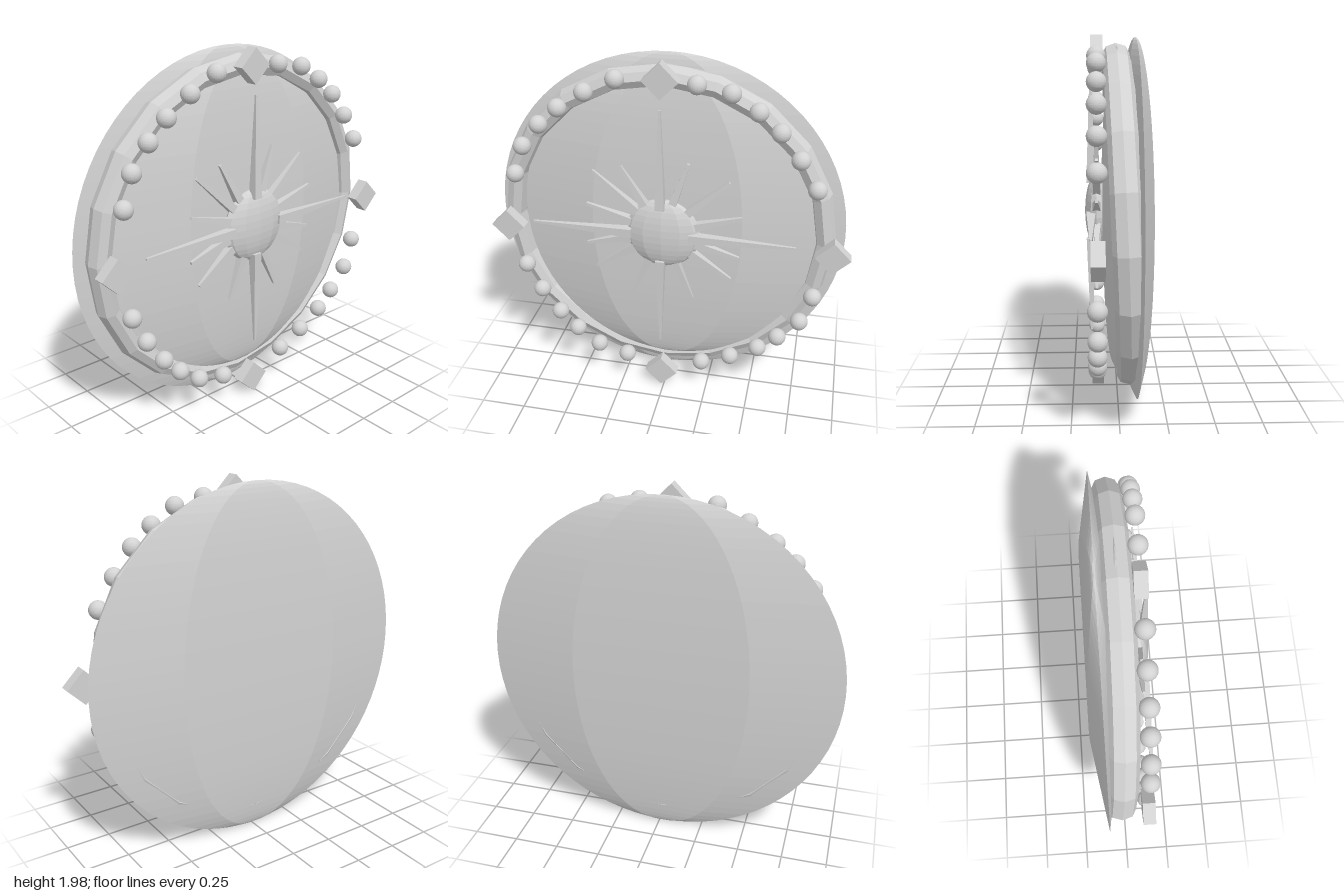
import * as THREE from 'three';

export function createModel() {
  const group = new THREE.Group();
  const grey = new THREE.MeshStandardMaterial({ color: 0xd2d2d2, flatShading: true });
  grey.name = 'stone grey';

  const add = (name, geometry, x, y, z) => {
    const mesh = new THREE.Mesh(geometry, grey);
    mesh.name = name;
    mesh.position.set(x, y, z);
    group.add(mesh);
    return mesh;
  };

  // Six-sided lens shapes: the back dish and the bulging face inside the rim
  const lens = (name, rx, ry, rz, x, y, z) =>
    add(name, new THREE.SphereGeometry(1, 6, 36), x, y, z).scale.set(rx, ry, rz);
  lens('backDish', 0.98, 0.985, 0.09, -0.018, 0.993, -0.098);
  lens('face', 0.825, 0.89, 0.09, 0.005, 1.05, 0.003);

  // Narrow, deep rim, tilted so that its foot sinks into the dish
  const rim = add('rim', new THREE.TorusGeometry(0.876, 0.058, 8, 20), -0.02, 1.015, -0.03);
  rim.scale.z = 1.27;
  rim.rotation.x = 0.04;

  // Four diamond blocks
  [[-0.016, 1.896], [-0.888, 0.995], [0.904, 1.0], [-0.016, 0.102]].forEach(([x, y]) => {
    add('diamondBlock', new THREE.BoxGeometry(0.133, 0.133, 0.066), x, y, 0.108).rotation.z = Math.PI / 4;
  });

  // Beads set unevenly by hand, six in each quarter
  const beads = [
    [-0.25, 1.885], [-0.415, 1.805], [-0.56, 1.71], [-0.67, 1.61], [-0.77, 1.48], [-0.825, 1.313],
    [0.165, 1.885], [0.337, 1.853], [0.475, 1.768], [0.588, 1.67], [0.695, 1.533], [0.79, 1.378],
    [-0.808, 0.74], [-0.727, 0.58], [-0.626, 0.436], [-0.524, 0.33], [-0.396, 0.233], [-0.225, 0.185],
    [0.818, 0.735], [0.76, 0.565], [0.647, 0.442], [0.54, 0.35], [0.385, 0.265], [0.219, 0.196],
  ];
  const beadGeometry = new THREE.SphereGeometry(0.049, 28, 20);
  beads.forEach(([x, y]) => add('bead', beadGeometry, x, y, 0.112));

  // Sun boss
  const sunX = -0.015, sunY = 1.04;
  add('sunBoss', new THREE.SphereGeometry(0.203, 12, 16), sunX + 0.01, sunY, 0.113).scale.z = 0.305;

  // Square tapered rays pointing from the sun to a tip given relative to its centre
  const ray = (name, dx, dy, inner, width, tip, z) => {
    const reach = Math.hypot(dx, dy), length = reach - inner;
    const mid = (inner + reach) / 2 / reach;
    const geometry = new THREE.CylinderGeometry(tip, width, length, 4).rotateY(Math.PI / 4);
    const mesh = add(name, geometry, sunX + dx * mid, sunY + dy * mid, z);
    mesh.rotation.z = Math.atan2(dy, dx) - Math.PI / 2;
  };
  [[0, 0.71], [0, -0.695], [-0.715, 0.005], [0.723, 0.005]].forEach(([x, y]) =>
    ray('longRay', x, y, 0.158, 0.036, 0.008, 0.142));
  [
    [0.145, 0.42], [0.36, 0.335], [0.435, 0.135], [-0.22, 0.375], [-0.375, 0.335], [-0.415, 0.135],
    [-0.42, -0.11], [-0.37, -0.255], [-0.16, -0.4], [0.175, -0.4], [0.385, -0.25], [0.425, -0.11],
  ].forEach(([x, y]) => ray('shortRay', x, y, 0.13, 0.036, 0.01, 0.112));

  return group;
}
